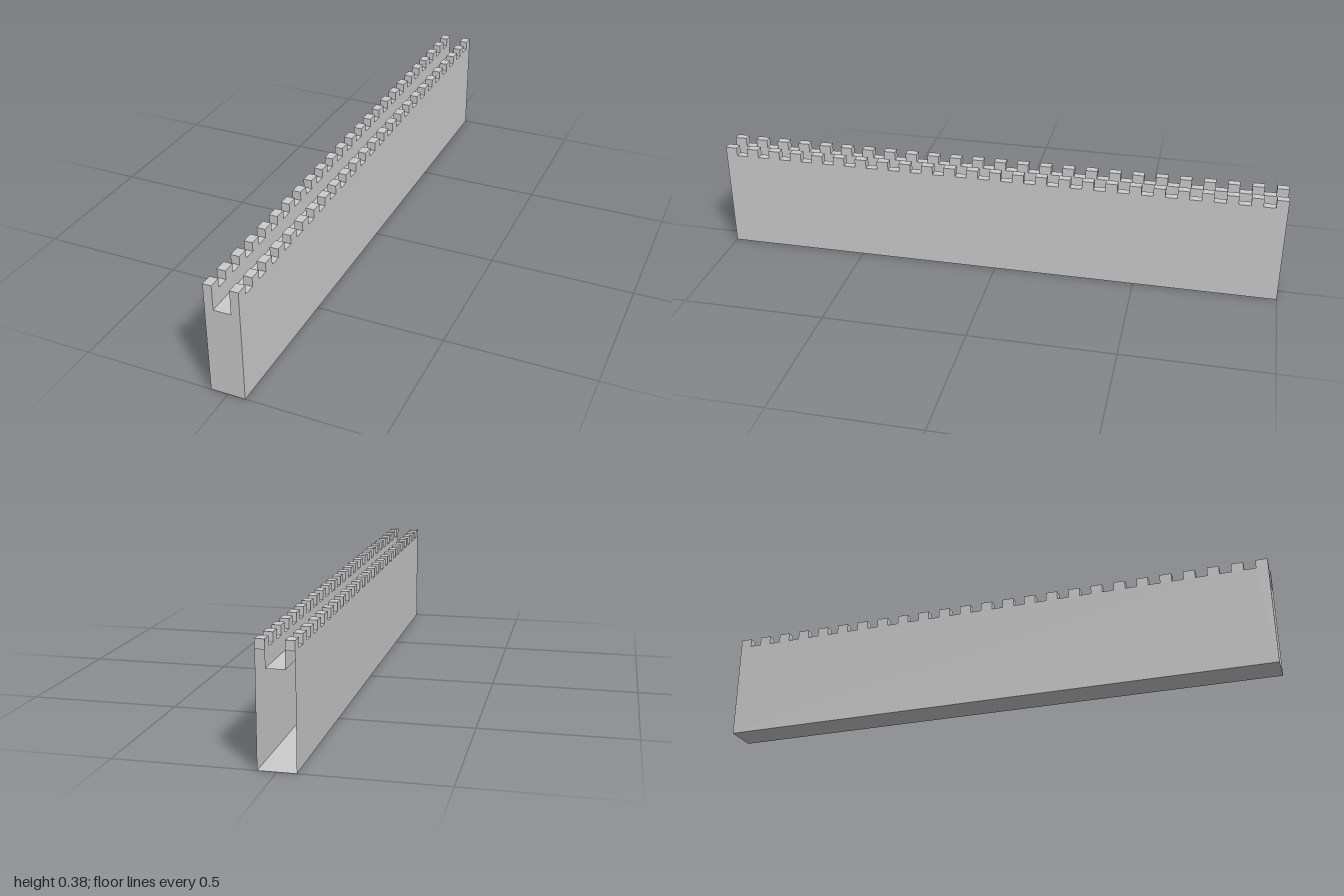
import * as THREE from 'three';
import { mergeGeometries } from 'three/addons/utils/BufferGeometryUtils.js';

const W = 0.058, IN = 0.029;                 // outer and inner half widths
const WALK = 0.3, SILL = 0.354, TOP = 0.384; // walkway, gap and merlon heights
const STEPS = 49, STEP = 2 / STEPS;          // 25 merlons, 24 gaps

export function createModel() {
  const group = new THREE.Group();
  const mat = new THREE.MeshStandardMaterial({
    color: 0xcccccc, side: THREE.DoubleSide, flatShading: true,
  });
  const add = (name, geo) => {
    const mesh = new THREE.Mesh(geo, mat);
    mesh.name = name;
    group.add(mesh);
  };
  const flat = (w, d, x, y, z) =>
    new THREE.PlaneGeometry(w, d).rotateX(-Math.PI / 2).translate(x, y, z);

  // crenellated long sheet standing at a given x, facing dir
  const sheet = (x, bottom, dir) => {
    const s = new THREE.Shape().moveTo(-1, bottom);
    for (let i = 0; i < STEPS; i++) {
      const y = i % 2 ? SILL : TOP;
      s.lineTo(-1 + i * STEP, y);
      s.lineTo(-1 + (i + 1) * STEP, y);
    }
    s.lineTo(1, bottom);
    return new THREE.ShapeGeometry(s).rotateY(dir * Math.PI / 2).translate(x, 0, 0);
  };

  // stepped tops and merlon ends along one parapet
  const crenels = (x) => {
    const parts = [];
    for (let i = 0; i < STEPS; i++) {
      const z = -1 + i * STEP;
      parts.push(flat(W - IN, STEP, x, i % 2 ? SILL : TOP, z + STEP / 2));
      const end = new THREE.PlaneGeometry(W - IN, TOP - SILL);
      if (i % 2 === 0) end.rotateY(Math.PI);
      parts.push(end.translate(x, (SILL + TOP) / 2, z));
    }
    return mergeGeometries(parts);
  };

  for (const [side, s] of [['left', 1], ['right', -1]]) {
    add(side + 'OuterWall', sheet(s * W, 0, s));
    add(side + 'ParapetInnerFace', sheet(s * IN, WALK, -s));
    add(side + 'Battlements', crenels(s * (W + IN) / 2));
  }

  add('walkway', flat(2 * IN, 2, 0, WALK, 0));
  add('base', flat(2 * W, 2, 0, 0, 0).rotateX(Math.PI));

  // front end is closed, the back end stays open
  const u = [[-W, 0], [W, 0], [W, TOP], [IN, TOP], [IN, WALK], [-IN, WALK], [-IN, TOP], [-W, TOP]];
  const cap = new THREE.Shape(u.map(([x, y]) => new THREE.Vector2(x, y)));
  add('frontEnd', new THREE.ShapeGeometry(cap).translate(0, 0, 1));

  return group;
}
